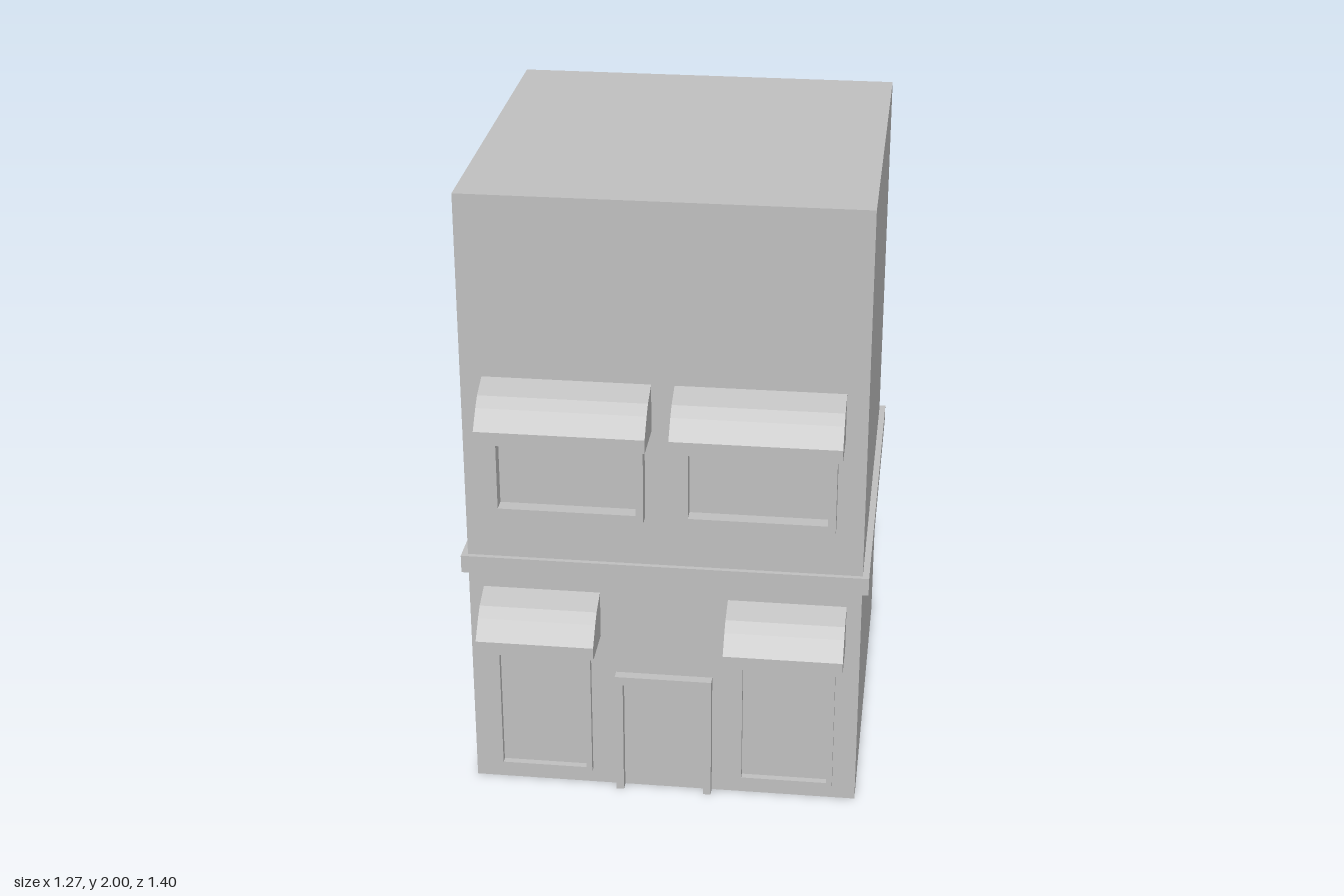
import * as THREE from 'three';

const WALL = 0.545; // z of the front wall

export function createModel() {
  const model = new THREE.Group();
  const plaster = new THREE.MeshStandardMaterial({ color: 0xc0c0c0 });
  plaster.name = 'plasterGrey';

  const add = (name, geometry) => {
    const mesh = new THREE.Mesh(geometry, plaster);
    mesh.name = name;
    model.add(mesh);
    return mesh;
  };
  const box = (name, x0, x1, y0, y1, z0, z1) =>
    add(name, new THREE.BoxGeometry(x1 - x0, y1 - y0, z1 - z0))
      .position.set((x0 + x1) / 2, (y0 + y1) / 2, (z0 + z1) / 2);

  // Rectangular surround with an opening, standing out from the front wall
  const frame = (name, x0, x1, y0, y1, side, bottom, top, depth) => {
    const shape = new THREE.Shape([
      [x0, y0], [x1, y0], [x1, y1], [x0, y1],
    ].map(p => new THREE.Vector2(...p)));
    shape.holes.push(new THREE.Path([
      [x0 + side, y0 + bottom], [x0 + side, y1 - top],
      [x1 - side, y1 - top], [x1 - side, y0 + bottom],
    ].map(p => new THREE.Vector2(...p))));
    add(name, new THREE.ExtrudeGeometry(shape, { depth, bevelEnabled: false }))
      .position.z = WALL;
  };

  // Faceted curved awning: profile in depth and height, extruded along x
  const awning = (name, x0, x1, y) => {
    const profile = new THREE.Shape([
      [0, 0], [0.154, 0], [0.154, 0.043], [0.105, 0.098], [0.073, 0.125], [0, 0.154],
    ].map(p => new THREE.Vector2(...p)));
    const geometry = new THREE.ExtrudeGeometry(profile, { depth: x1 - x0, bevelEnabled: false });
    geometry.rotateY(-Math.PI / 2); // profile x becomes z, extrusion runs to -x
    add(name, geometry).position.set(x1, y, WALL);
  };

  // Main block
  box('building', -0.613, 0.613, 0, 2, -0.685, WALL);

  // String course around the front and both sides, open at the back
  box('bandFront', -0.606, 0.606, 0.757, 0.815, 0.53, 0.56);
  for (const s of [-1, 1]) {
    const label = s > 0 ? 'Left' : 'Right';
    const span = (a, b) => (s > 0 ? [a, b] : [-b, -a]);
    box('band' + label, ...span(0.606, 0.633), 0.757, 0.815, -0.697, 0.56);

    // Upper and lower windows with their awnings
    frame('upperWindowFrame' + label, ...span(0.056, 0.528), 0.98, 1.34, 0.024, 0.024, 0.024, 0.045);
    awning('upperAwning' + label, ...span(0.035, 0.547), 1.27);
    frame('lowerWindowFrame' + label, ...span(0.232, 0.54), 0.05, 0.62, 0.018, 0.017, 0.018, 0.022);
    awning('lowerAwning' + label, ...span(0.2, 0.567), 0.55);

    // Door jambs
    box('doorJamb' + label, ...span(0.128, 0.153), 0, 0.39, WALL, 0.577);
  }
  box('doorLintel', -0.153, 0.153, 0.39, 0.42, WALL, 0.577);

  return model;
}
